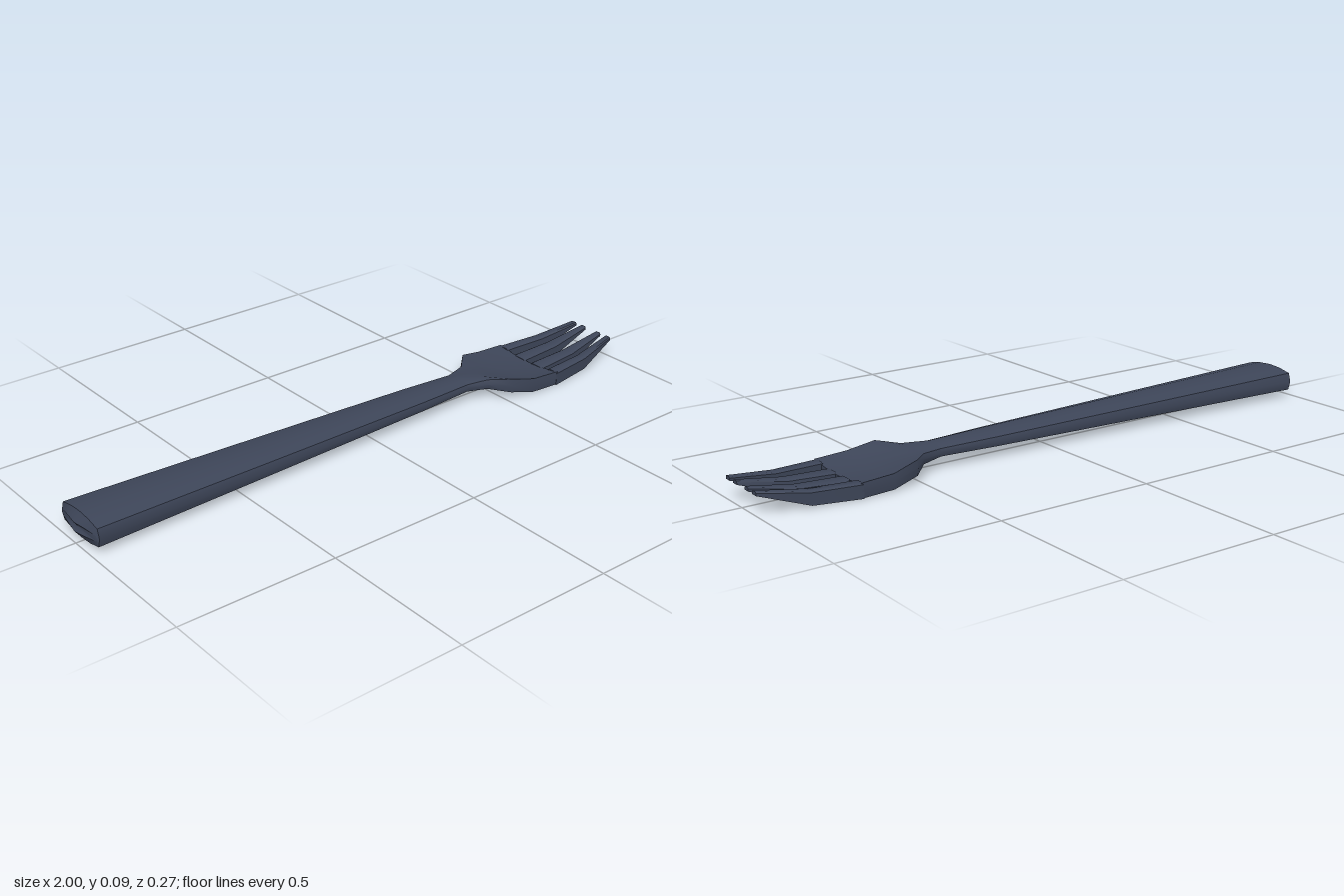
import * as THREE from 'three';
import { toCreasedNormals } from 'three/addons/utils/BufferGeometryUtils.js';

// Skin a closed tube over rings of [x, y, z] points running along +x, capped at both ends
function loft(rings) {
  const n = rings[0].length;
  const pos = rings.flat(2);
  const index = [];
  for (let i = 0; i < rings.length - 1; i++) {
    for (let j = 0; j < n; j++) {
      const k = (j + 1) % n;
      const a = i * n + j, b = i * n + k, c = b + n, d = a + n;
      index.push(a, b, c, a, c, d);
    }
  }
  [0, rings.length - 1].forEach((r) => {
    const centre = pos.length / 3;
    for (let axis = 0; axis < 3; axis++) {
      pos.push(rings[r].reduce((sum, p) => sum + p[axis], 0) / n);
    }
    for (let j = 0; j < n; j++) {
      const a = r * n + j, b = r * n + ((j + 1) % n);
      if (r === 0) index.push(centre, b, a);
      else index.push(centre, a, b);
    }
  });
  const geometry = new THREE.BufferGeometry();
  geometry.setAttribute('position', new THREE.Float32BufferAttribute(pos, 3));
  geometry.setIndex(index);
  return toCreasedNormals(geometry, 0.7);
}

// Twelve-point section: curved top and bottom joined by a soft side edge
function bodyRing([x, w, topMid, topEdge, botMid, botEdge, inset = 0.92, bow = 0]) {
  const ts = [-1, -0.5, 0, 0.5, 1];
  const at = (t, mid, edge) => [x + bow * Math.abs(t), mid + (edge - mid) * t * t, t * w * inset];
  const side = (s) => [x + bow, (topEdge + botEdge) / 2, s * w];
  return [
    ...ts.map((t) => at(t, topMid, topEdge)),
    side(1),
    ...ts.map((t) => at(-t, botMid, botEdge)),
    side(-1),
  ];
}

export function createModel() {
  const fork = new THREE.Group();
  fork.name = 'fork';
  const material = new THREE.MeshStandardMaterial({ color: 0x3d4558 });
  const add = (name, geometry) => {
    const mesh = new THREE.Mesh(geometry, material);
    mesh.name = name;
    fork.add(mesh);
  };

  // Handle: x, half width, top middle, top edge, bottom middle, bottom edge, inset, end bow
  add('handle', loft([
    [-1, 0.094, 0.066, 0.06, 0.037, 0.043, 0.95, 0.015],
    [-0.98, 0.1, 0.094, 0.081, 0.01, 0.024],
    [-0.4, 0.081, 0.085, 0.073, 0.018, 0.03],
    [0.2, 0.06, 0.076, 0.065, 0.026, 0.036],
    [0.39, 0.048, 0.073, 0.062, 0.03, 0.038],
  ].map(bodyRing)));

  // Head: dished plate that flares out of the neck
  add('head', loft([
    [0.39, 0.048, 0.073, 0.062, 0.03, 0.038],
    [0.46, 0.068, 0.066, 0.065, 0.025, 0.033],
    [0.515, 0.12, 0.053, 0.071, 0.017, 0.024, 0.97],
    [0.6, 0.134, 0.036, 0.052, 0.004, 0.005, 0.98],
    [0.705, 0.136, 0.032, 0.046, 0, 0.001, 0.98],
  ].map(bodyRing)));

  // Tines: z of outer and inner sides, at the root, the bend and the tip
  const bottoms = [0, 0.007, 0.058];
  const tops = [0.045, 0.048, 0.069];
  const xs = [0.7, 0.85, 1];
  const tines = [
    ['outerTine', [[0.136, 0.094], [0.118, 0.083], [0.09, 0.067]], 0],
    ['innerTine', [[0.067, 0.013], [0.06, 0.016], [0.045, 0.023]], 0.009],
  ];
  for (const [name, sides, dip] of tines) {
    for (const s of [-1, 1]) {
      const rings = xs.map((x, i) => {
        const [lo, hi] = sides[i].map((z) => z * s).sort((a, b) => a - b);
        const top = tops[i] - dip * (1 - i / 2);
        const soft = (hi - lo) * 0.15;
        return [
          [x, top, lo + soft], [x, top, hi - soft],
          [x, top - 0.004, hi], [x, bottoms[i], hi],
          [x, bottoms[i], lo], [x, top - 0.004, lo],
        ];
      });
      add((s > 0 ? 'front' : 'back') + name[0].toUpperCase() + name.slice(1), loft(rings));
    }
  }
  return fork;
}
